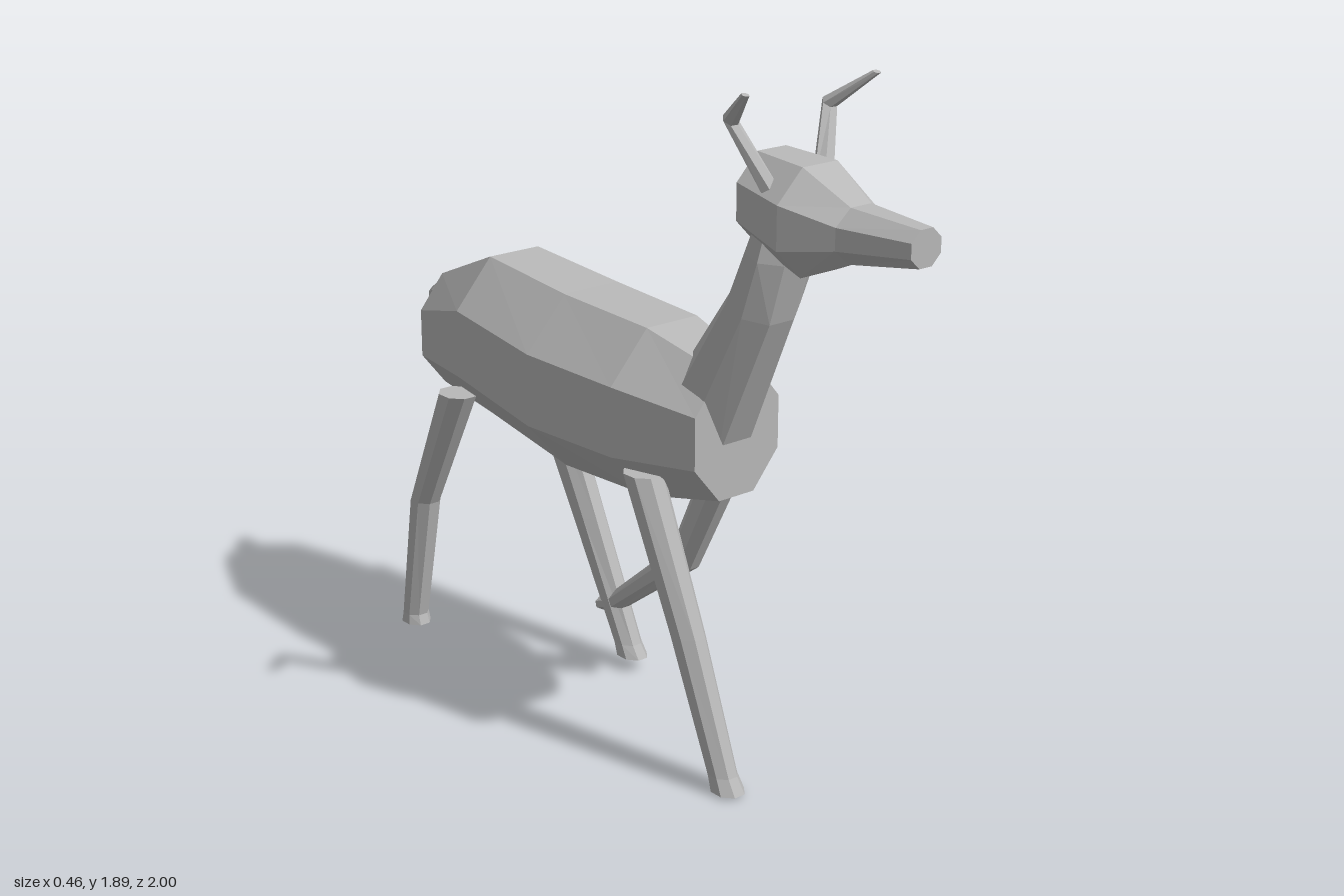
import * as THREE from 'three';

const SIDES = 8;

// Lofts faceted rings into a closed skin. Each ring is
// [x, y, z, half width in x, half depth, tilt]; tilt 0 stands upright, PI/2 lies flat.
function loft(name, material, rings, sides = SIDES) {
  const k = 1 / Math.cos(Math.PI / sides);
  const loops = rings.map(([x, y, z, w, d, tilt]) => {
    const loop = [];
    for (let i = 0; i < sides; i++) {
      const t = ((i + 0.5) / sides) * Math.PI * 2;
      const v = Math.cos(t) * d * k;
      loop.push(new THREE.Vector3(x + Math.sin(t) * w * k, y + v * Math.cos(tilt), z + v * Math.sin(tilt)));
    }
    return loop;
  });
  const tris = [];
  for (let r = 0; r < loops.length - 1; r++) {
    for (let i = 0; i < sides; i++) {
      const j = (i + 1) % sides;
      const [a, b, c, d] = [loops[r][i], loops[r][j], loops[r + 1][j], loops[r + 1][i]];
      tris.push([a, b, c], [a, c, d]);
    }
  }
  const first = loops[0], last = loops[loops.length - 1];
  for (let i = 1; i < sides - 1; i++) {
    tris.push([first[0], first[i + 1], first[i]], [last[0], last[i], last[i + 1]]);
  }
  // Turn the skin outward whichever way the rings run
  const cross = new THREE.Vector3(), origin = loops[0][0];
  let volume = 0;
  for (const [a, b, c] of tris) {
    cross.crossVectors(b.clone().sub(origin), c.clone().sub(origin));
    volume += a.clone().sub(origin).dot(cross);
  }
  const points = tris.flatMap(([a, b, c]) => (volume < 0 ? [a, c, b] : [a, b, c]));
  const geometry = new THREE.BufferGeometry().setFromPoints(points);
  geometry.computeVertexNormals();
  const mesh = new THREE.Mesh(geometry, material);
  mesh.name = name;
  return mesh;
}

export function createModel() {
  const model = new THREE.Group();
  model.name = 'deer';
  const grey = new THREE.MeshStandardMaterial({ color: 0xb8b8b8, flatShading: true });
  grey.name = 'plain grey';
  const add = (name, rings, sides) => model.add(loft(name, grey, rings, sides));
  const flat = Math.PI / 2;

  // Barrel body, chest to rump
  add('body', [
    [0, 0.93, 0.38, 0.145, 0.175, 0],
    [0, 0.935, 0.12, 0.21, 0.235, 0],
    [0, 0.938, -0.22, 0.225, 0.248, 0],
    [0, 0.98, -0.57, 0.205, 0.235, 0],
    [0, 0.932, -0.85, 0.135, 0.167, 0],
  ]);

  // Neck leaning forward out of the chest
  add('neck', [
    [0, 0.99, 0.305, 0.12, 0.14, -0.4],
    [0, 1.3, 0.47, 0.1, 0.077, -1.13],
    [0.005, 1.45, 0.53, 0.105, 0.06, -1.22],
    [0.008, 1.51, 0.545, 0.1, 0.05, -1.3],
  ]);

  // Head tapering to the muzzle
  add('head', [
    [0.011, 1.583, 0.48, 0.115, 0.117, 0],
    [0.012, 1.553, 0.65, 0.14, 0.138, 0],
    [0.014, 1.545, 0.79, 0.083, 0.07, 0],
    [0.02, 1.553, 1.0, 0.05, 0.047, 0],
  ]);

  // Short tail
  add('tail', [
    [0, 1.02, -0.83, 0.052, 0.05, 0],
    [0.005, 1.008, -0.94, 0.037, 0.037, 0],
    [0.016, 0.992, -1.0, 0.018, 0.018, 0],
  ]);

  // Bent antlers, one each side
  for (const [s, side] of [[1, 'left'], [-1, 'right']]) {
    add(side + 'Antler', [
      [s * 0.085 + 0.005, 1.62, 0.58, 0.027, 0.022, flat],
      [s * 0.165 + 0.005, 1.8, 0.517, 0.02, 0.018, 2.2],
      [s * 0.217 + 0.005, 1.885, 0.625, 0.009, 0.009, 0.3 + flat],
    ], 6);
  }

  // Front left leg, lifted and folded back
  add('frontLeftLeg', [
    [0.152, 0.805, 0.197, 0.05, 0.058, flat],
    [0.145, 0.42, 0.01, 0.039, 0.045, 2.0],
    [0.145, 0.19, -0.285, 0.034, 0.028, 2.47],
    [0.145, 0.167, -0.345, 0.037, 0.022, 2.9],
  ]);

  // Front right leg, reaching forward
  add('frontRightLeg', [
    [-0.155, 0.805, 0.187, 0.05, 0.055, flat],
    [-0.152, 0.4, 0.365, 0.042, 0.05, flat],
    [-0.152, 0.05, 0.507, 0.036, 0.042, flat],
    [-0.152, 0.008, 0.528, 0.041, 0.048, flat],
  ]);

  // Hind left leg, reaching forward
  add('hindLeftLeg', [
    [0.152, 0.805, -0.63, 0.05, 0.075, flat],
    [0.148, 0.42, -0.425, 0.041, 0.058, flat],
    [0.147, 0.075, -0.245, 0.036, 0.042, flat],
    [0.147, 0.038, -0.226, 0.039, 0.05, flat],
  ]);

  // Hind right leg, trailing behind
  add('hindRightLeg', [
    [-0.155, 0.805, -0.645, 0.05, 0.06, flat],
    [-0.152, 0.42, -0.832, 0.041, 0.046, flat],
    [-0.152, 0.03, -0.903, 0.036, 0.037, flat],
    [-0.152, 0, -0.903, 0.039, 0.047, flat],
  ]);

  return model;
}
